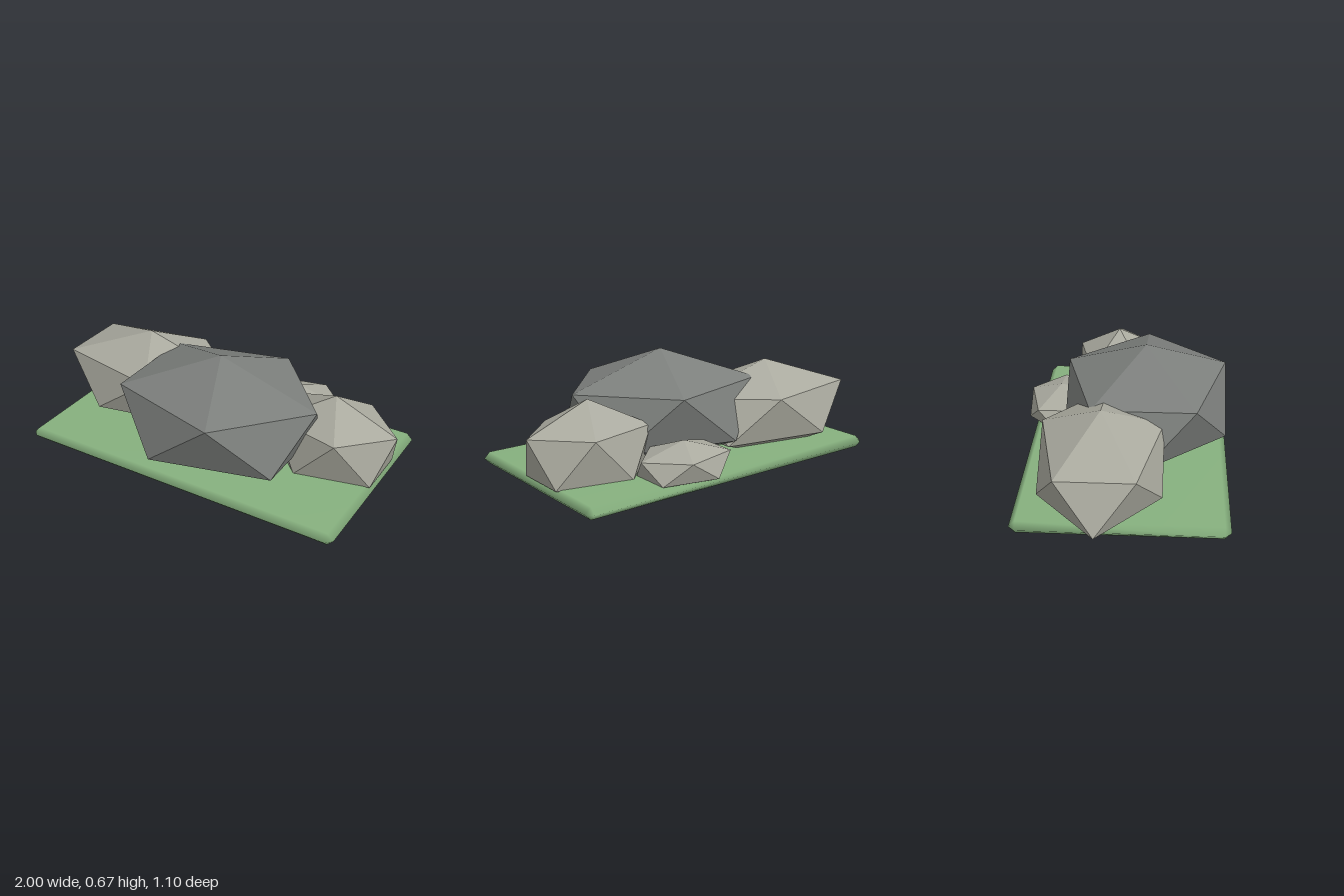
import * as THREE from 'three';
import { ConvexGeometry } from 'three/addons/geometries/ConvexGeometry.js';
import { mergeVertices } from 'three/addons/utils/BufferGeometryUtils.js';

// Icosahedron standing on a vertex: two poles and two staggered rings of five
function rockGeometry() {
  const points = [new THREE.Vector3(0, 1, 0), new THREE.Vector3(0, -1, 0)];
  const h = 1 / Math.sqrt(5), r = 2 * h;
  for (let i = 0; i < 5; i++) {
    const a = (i * 2 * Math.PI) / 5, b = a + Math.PI / 5;
    points.push(new THREE.Vector3(r * Math.cos(a), h, r * Math.sin(a)));
    points.push(new THREE.Vector3(r * Math.cos(b), -h, r * Math.sin(b)));
  }
  return new ConvexGeometry(points);
}

// Slab whose edges are all chamfered by half its height, shaded smoothly
function slabGeometry(width, height, depth) {
  const x = width / 2, y = height / 2, z = depth / 2, c = y;
  const points = [];
  for (const sx of [-1, 1]) {
    for (const sz of [-1, 1]) {
      points.push(
        new THREE.Vector3(sx * (x - c), y, sz * (z - c)),
        new THREE.Vector3(sx * (x - c), -y, sz * (z - c)),
        new THREE.Vector3(sx * x, 0, sz * (z - c)),
        new THREE.Vector3(sx * (x - c), 0, sz * z)
      );
    }
  }
  const geometry = new ConvexGeometry(points);
  geometry.deleteAttribute('normal');
  const merged = mergeVertices(geometry);
  merged.computeVertexNormals();
  return merged;
}

export function createModel() {
  const group = new THREE.Group();
  const grass = new THREE.MeshStandardMaterial({ color: 0x86b07e });
  const darkStone = new THREE.MeshStandardMaterial({ color: 0x7c7f7c, flatShading: true });
  const lightStone = new THREE.MeshStandardMaterial({ color: 0xaaaa9f, flatShading: true });

  // Grass base
  const base = new THREE.Mesh(slabGeometry(1.8, 0.064, 1.055), grass);
  base.name = 'grassBase';
  base.position.set(0.045, 0.114, 0.0195);
  group.add(base);

  // Rocks: name, material, centre, radii
  const rocks = [
    ['mainRock', darkStone, [0.09, 0.3575, 0.112], [0.615, 0.3075, 0.505]],
    ['rightRock', lightStone, [-0.48, 0.3, -0.09], [0.58, 0.265, 0.362]],
    ['leftRock', lightStone, [0.66, 0.2575, -0.064], [0.38, 0.2575, 0.276]],
    ['smallBackRock', lightStone, [0.3075, 0.199, -0.375], [0.288, 0.117, 0.206]],
  ];
  for (const [name, material, centre, radii] of rocks) {
    const rock = new THREE.Mesh(rockGeometry().scale(...radii), material);
    rock.name = name;
    rock.position.set(...centre);
    group.add(rock);
  }
  return group;
}
